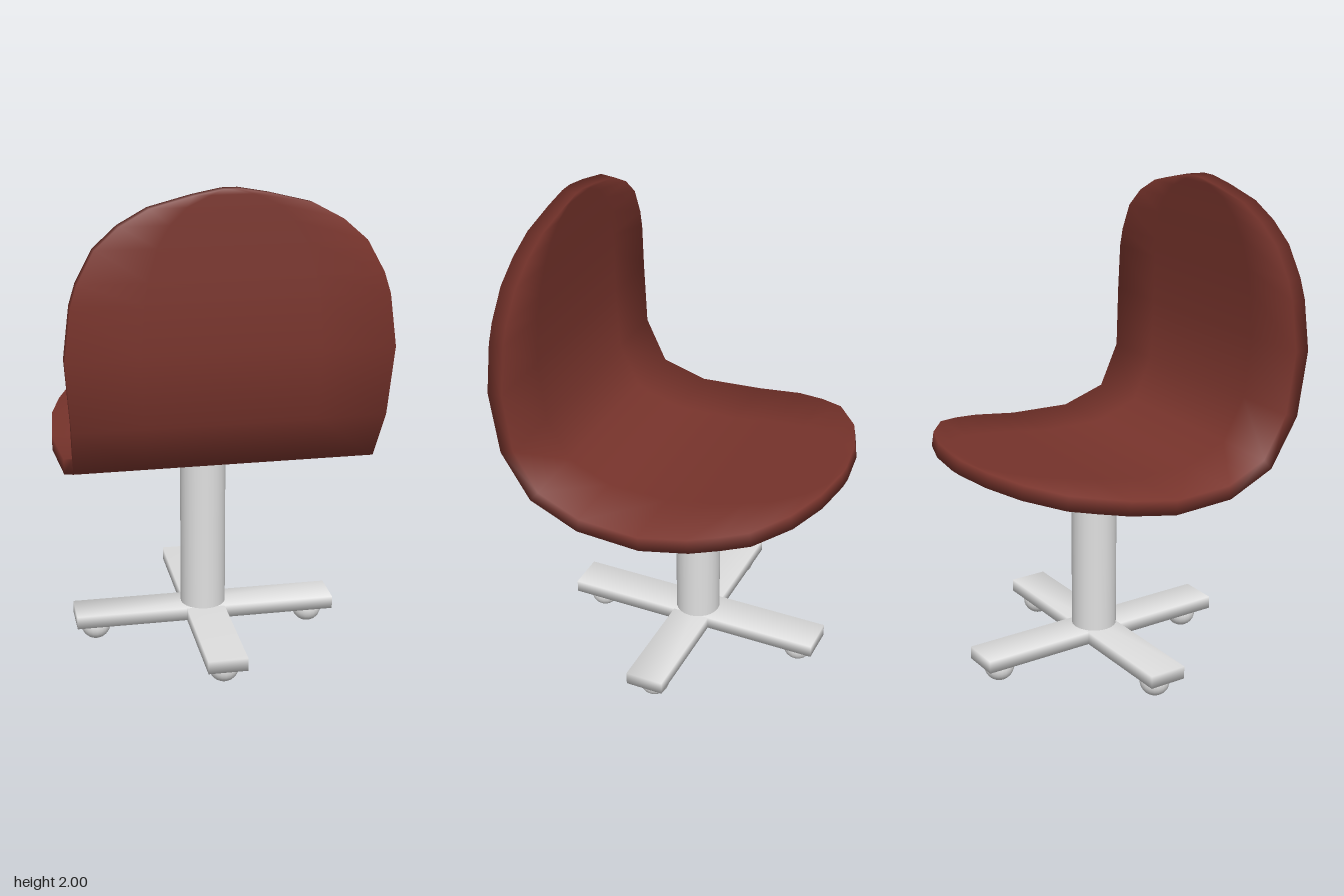
import * as THREE from 'three';
import { mergeVertices } from 'three/addons/utils/BufferGeometryUtils.js';

// Shell stations from the top of the back to the seat's free edge: [z, y, half width]
const STATIONS = [
  [0.553, 2.0, 0.03], [0.5545, 1.98, 0.14], [0.558, 1.94, 0.3], [0.562, 1.88, 0.41],
  [0.568, 1.8, 0.5], [0.577, 1.68, 0.565], [0.582, 1.6, 0.59], [0.59, 1.4, 0.615],
  [0.568, 1.135, 0.595], [0.467, 0.946, 0.582], [0.27, 0.874, 0.597], [0, 0.877, 0.617],
  [-0.2, 0.911, 0.597], [-0.32, 0.933, 0.555], [-0.42, 0.949, 0.505],
  [-0.53, 0.967, 0.36], [-0.59, 0.977, 0.2], [-0.614, 0.98, 0.03],
];
const HALF_THICKNESS = 0.03;
const CENTRE_Z = 0.025;

// Bent sheet: one closed ring of eight points per station, with softened rim normals
function shellGeometry() {
  const columns = [-1, -0.55, 0.55, 1];
  const ring = [...columns.map((u) => [u, 1]), ...columns.map((u) => [-u, -1])];
  const n = ring.length, last = STATIONS.length - 1;
  const positions = [], normals = [], index = [];
  const dir = (p, q) => new THREE.Vector3(0, q[1] - p[1], q[0] - p[0]).normalize();
  STATIONS.forEach((here, i) => {
    const [z, y, w] = here;
    const a = STATIONS[Math.max(i - 1, 0)], b = STATIONS[Math.min(i + 1, last)];
    const tangent = dir(a, here).add(dir(here, b)).normalize();
    // Points to the sitter's side
    const up = new THREE.Vector3(0, -tangent.z, tangent.y);
    const slope = (b[2] - a[2]) / Math.hypot(b[0] - a[0], b[1] - a[1]);
    for (const [u, side] of ring) {
      positions.push(u * w, y + up.y * side * HALF_THICKNESS, z + up.z * side * HALF_THICKNESS);
      const normal = up.clone().multiplyScalar(side);
      const rim = new THREE.Vector3(Math.sign(u), 0, 0).addScaledVector(tangent, -slope).normalize();
      if (Math.abs(u) === 1 || i === 0 || i === last) normal.addScaledVector(rim, 0.6).normalize();
      normals.push(...normal.toArray());
    }
  });
  for (let i = 0; i < last; i++) {
    for (let j = 0; j < n; j++) {
      const a = i * n + j, b = i * n + ((j + 1) % n);
      index.push(a, b, a + n, b, b + n, a + n);
    }
  }
  // End caps
  for (let j = 1; j < n - 1; j++) {
    index.push(0, j + 1, j, last * n, last * n + j, last * n + j + 1);
  }
  const geometry = new THREE.BufferGeometry();
  geometry.setAttribute('position', new THREE.Float32BufferAttribute(positions, 3));
  geometry.setAttribute('normal', new THREE.Float32BufferAttribute(normals, 3));
  geometry.setIndex(index);
  return geometry;
}

// Box with shared corners, so its shading runs softly around the edges
function softBox(x, y, z) {
  const box = new THREE.BoxGeometry(x, y, z);
  box.deleteAttribute('normal');
  box.deleteAttribute('uv');
  const geometry = mergeVertices(box);
  geometry.computeVertexNormals();
  return geometry;
}

export function createModel() {
  const model = new THREE.Group();
  model.name = 'swivelChair';
  const upholstery = new THREE.MeshStandardMaterial({ color: 0x78342c });
  upholstery.name = 'redBrownShell';
  const metal = new THREE.MeshStandardMaterial({ color: 0xe0e0e0 });
  metal.name = 'paleMetal';

  const add = (name, geometry, material, x, y, z) => {
    const mesh = new THREE.Mesh(geometry, material);
    mesh.name = name;
    mesh.position.set(x, y, z);
    model.add(mesh);
  };

  add('seatShell', shellGeometry(), upholstery, 0, 0, 0);

  // Pedestal, its top sunk into the shell
  add('column', new THREE.CylinderGeometry(0.094, 0.094, 0.74, 24), metal, -0.002, 0.49, CENTRE_Z);

  // Crossed feet
  add('sideFoot', softBox(1.09, 0.054, 0.16), metal, 0, 0.111, CENTRE_Z);
  add('lengthFoot', softBox(0.16, 0.054, 1.115), metal, -0.003, 0.111, CENTRE_Z);

  // Casters, one under each end
  const ball = new THREE.SphereGeometry(0.062, 20, 14);
  for (let i = 0; i < 4; i++) {
    const angle = (i * Math.PI) / 2;
    add('caster', ball, metal, 0.457 * Math.cos(angle) - 0.003, 0.063, 0.02 + 0.465 * Math.sin(angle));
  }
  return model;
}
